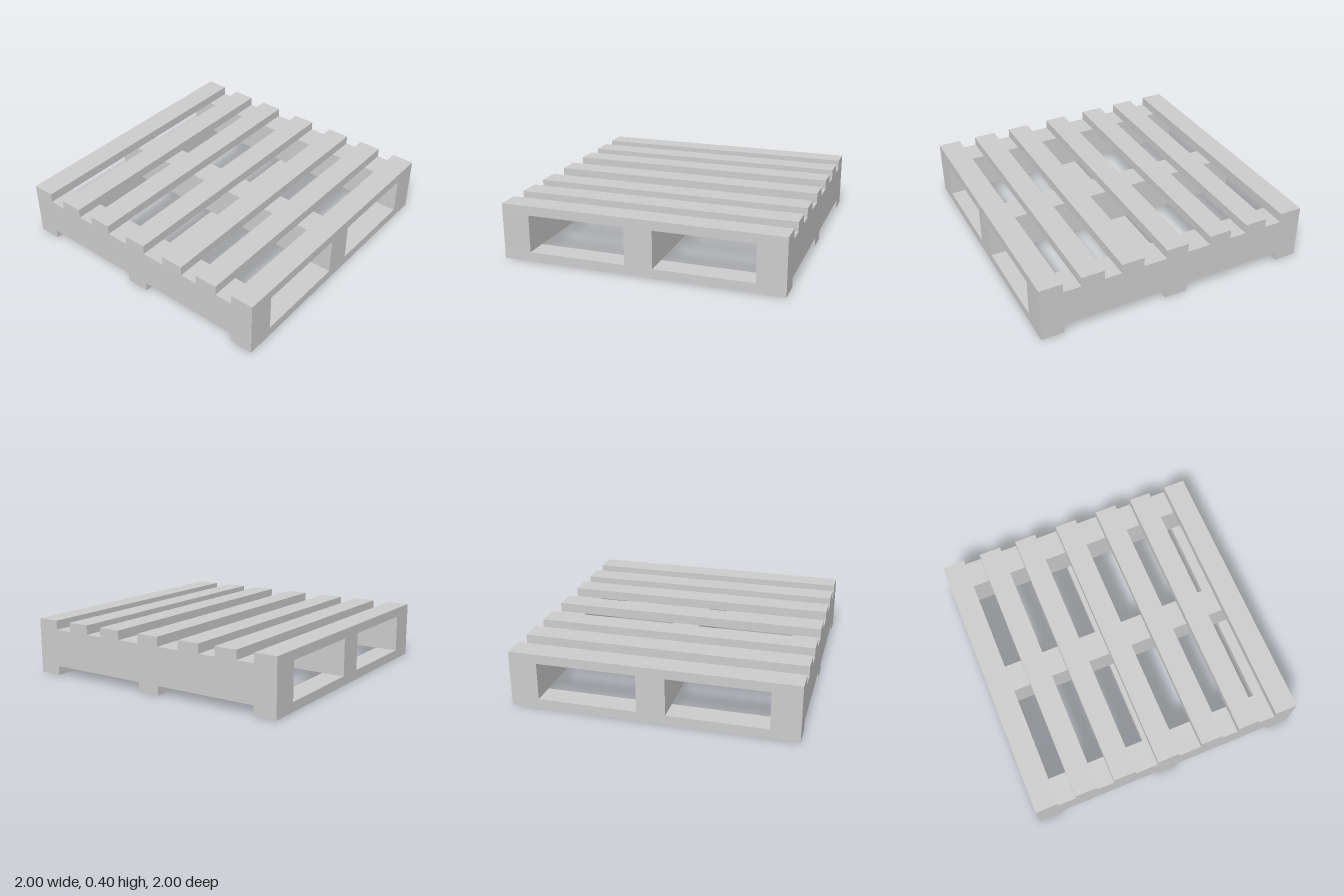
import * as THREE from 'three';

const material = new THREE.MeshStandardMaterial({ color: 0xcccccc, flatShading: true });

// Board given by its size, the height of its underside and its centre
function board(name, width, height, depth, x, bottom, z) {
  const mesh = new THREE.Mesh(new THREE.BoxGeometry(width, height, depth), material);
  mesh.name = name;
  mesh.position.set(x, bottom + height / 2, z);
  return mesh;
}

export function createModel() {
  const group = new THREE.Group();
  group.name = 'pallet';

  const slatWidth = 0.165;
  const boardHeight = 0.067;
  const bearerHeight = 0.268;
  const edge = 1 - slatWidth / 2;

  // Bottom runners, front to back
  for (const x of [-edge, 0, edge]) {
    group.add(board('bottomRunner', slatWidth, boardHeight, 2, x, 0, 0));
  }

  // Solid bearers, side to side
  for (const z of [-0.9, 0, 0.9]) {
    group.add(board('bearer', 2, bearerHeight, 0.2, 0, boardHeight, z));
  }

  // Deck slats, front to back
  for (const x of [-edge, -0.625, -0.335, 0, 0.335, 0.625, edge]) {
    group.add(board('deckSlat', slatWidth, boardHeight, 2, x, boardHeight + bearerHeight, 0));
  }

  return group;
}
